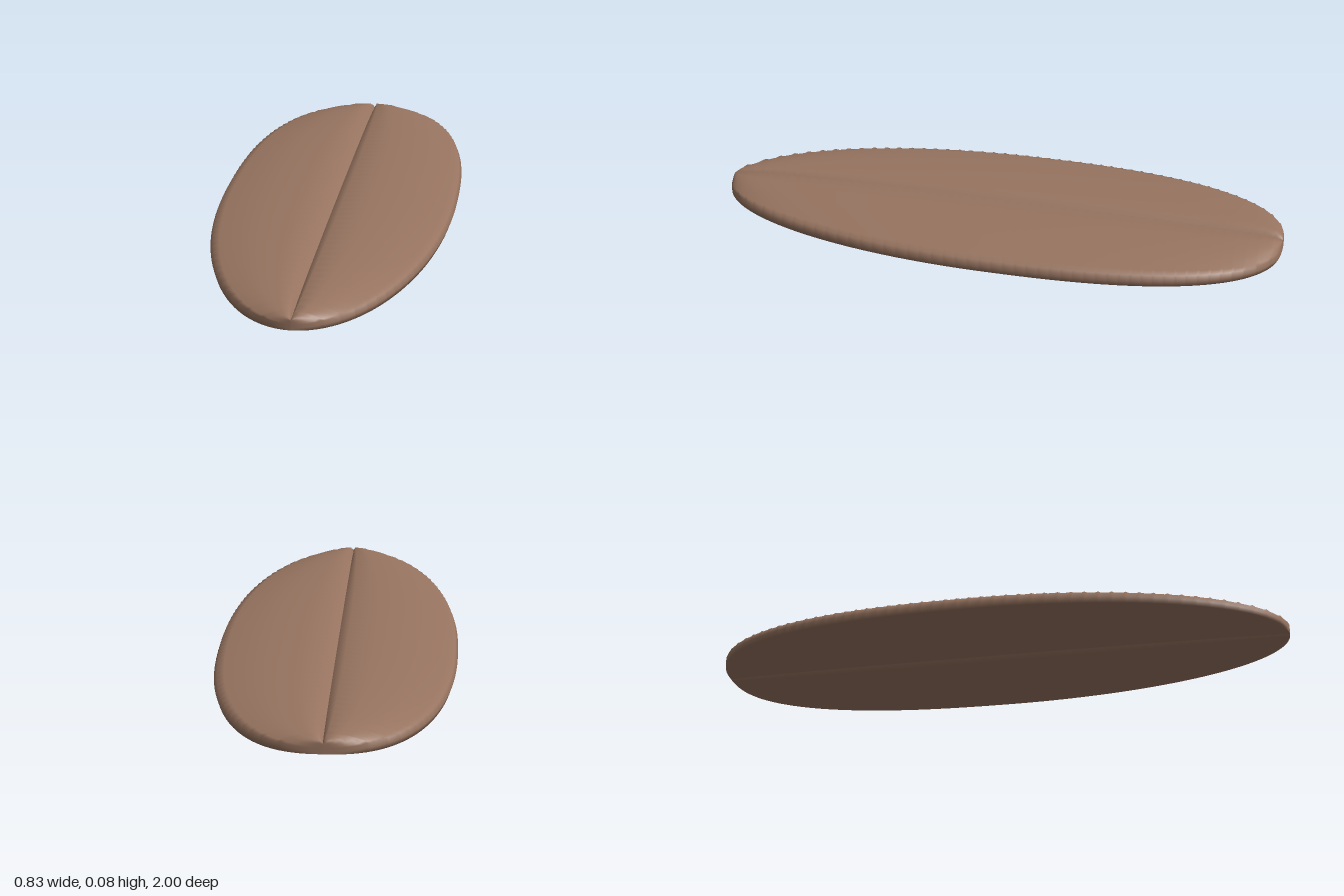
import * as THREE from 'three';

const WIDEST_Z = -0.05;

// Closed cross-section of one half: [x, y, rib weight]
const SECTION = [
  [0, 0.05, 0], [0.035, 0.08, 1], [0.13, 0.078, 1], [0.22, 0.074, 1], [0.3, 0.063, 1],
  [0.38, 0.049, 1], [0.405, 0.041, 0.7], [0.415, 0.02, 0.3], [0.408, 0, 0],
  [0.3, 0, 0], [0.12, 0, 0], [0.025, 0, 0], [0, 0.02, 0], [0, 0.05, 0],
];

// Outline: round at the front, blunter at the back
function widthAt(z) {
  const front = z > WIDEST_Z;
  const u = Math.min(1, Math.abs(z - WIDEST_Z) / (front ? 1.05 : 0.95));
  const p = front ? 2 : 2.5;
  return Math.pow(Math.max(0, 1 - Math.pow(u, p)), 1 / p);
}

// Rows along the length: [z, rib lift]; every rib is a narrow raised line
function makeRows() {
  const rows = [];
  const ends = [0.9995, 0.998, 0.995, 0.99];
  rows.push([-1, 0], ...ends.map((z) => [-z, 0]));
  const count = 48, span = 1.95, step = span / count;
  for (let i = 0; i <= count; i++) {
    const z = -span / 2 + i * step;
    rows.push([z - 0.007, 0], [z, 0.005], [z + 0.007, 0]);
    if (i < count) rows.push([z + step / 2, 0]);
  }
  rows.push(...ends.slice().reverse().map((z) => [z, 0]), [1, 0]);
  return rows;
}

// One half of the shell; side is +1 (left) or -1 (right)
function makeHalf(side) {
  const rows = makeRows(), n = SECTION.length;
  const positions = [], index = [];
  rows.forEach(([z], j) => {
    SECTION.forEach(([x, y], i) => {
      // ribs sweep slightly backwards towards the rim
      const sweptZ = z - 0.2 * x * widthAt(z) * (1 - z * z);
      const w = widthAt(sweptZ);
      const h = 0.42 + 0.58 * Math.pow(w, 0.8);
      positions.push(side * x * w, y * h, sweptZ);
      if (j < rows.length - 1 && i < n - 1) {
        const a = j * n + i, b = a + n;
        if (side > 0) index.push(a, b, a + 1, a + 1, b, b + 1);
        else index.push(a, a + 1, b, a + 1, b + 1, b);
      }
    });
  });
  const geometry = new THREE.BufferGeometry();
  geometry.setAttribute('position', new THREE.Float32BufferAttribute(positions, 3));
  geometry.setIndex(index);
  geometry.computeVertexNormals();

  // Raise the ribs after the normals so the shell keeps its soft shading
  const pos = geometry.attributes.position;
  rows.forEach(([, lift], j) => {
    SECTION.forEach(([, , weight], i) => {
      const k = j * n + i;
      pos.setY(k, pos.getY(k) + lift * weight);
    });
  });
  return geometry;
}

export function createModel() {
  const brown = new THREE.MeshStandardMaterial({ color: 0x977460 });
  brown.name = 'warm brown';
  const group = new THREE.Group();
  group.name = 'ribbedShell';
  for (const [name, side] of [['leftHalf', 1], ['rightHalf', -1]]) {
    const half = new THREE.Mesh(makeHalf(side), brown);
    half.name = name;
    group.add(half);
  }
  return group;
}
